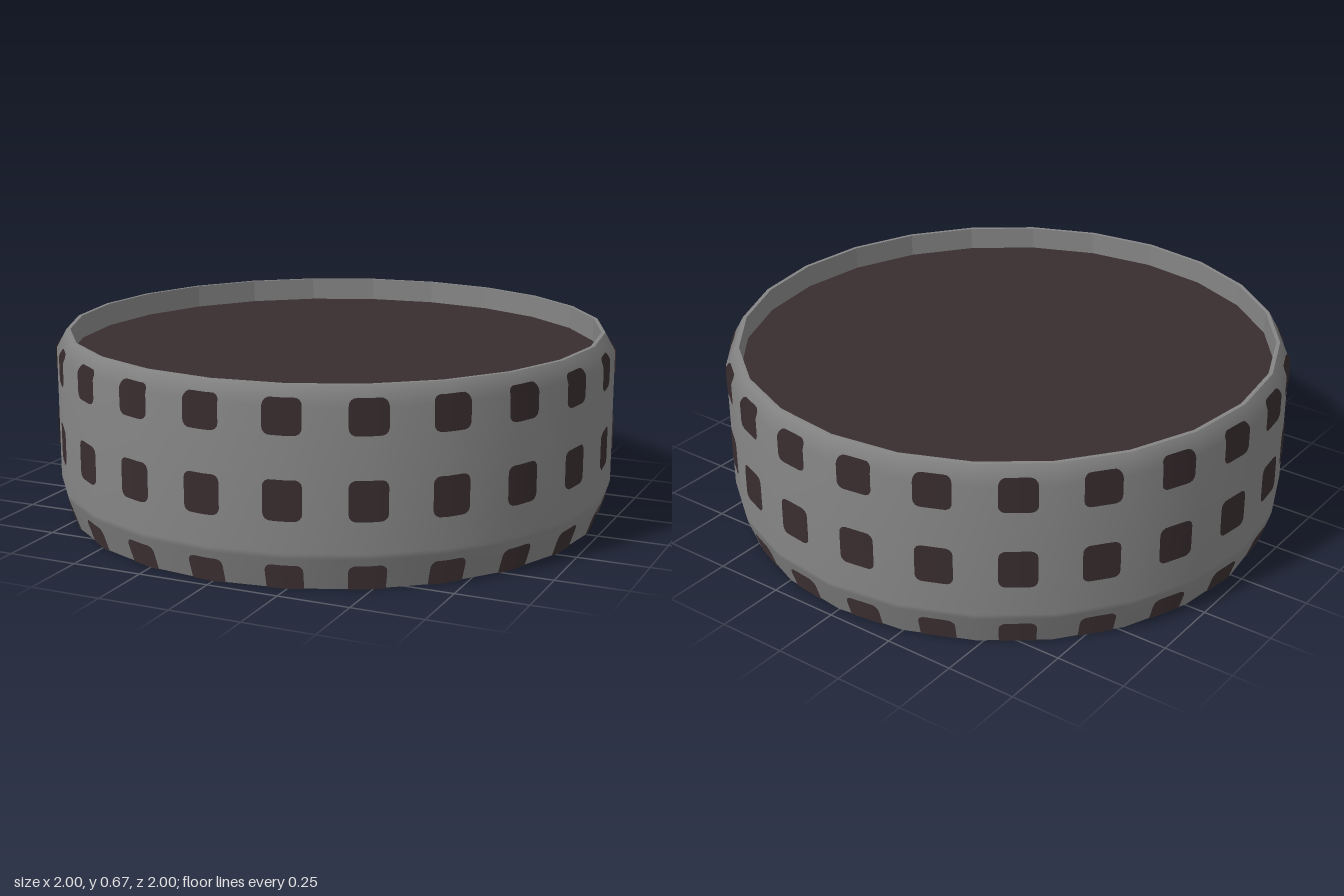
import * as THREE from 'three';

const SIDES = 24;
const FACET = (Math.PI * 2) / SIDES;
const PATCHES = 23;

// Outer wall profile: radius, height
const PROFILE = [[0.957, 0], [0.995, 0.11], [1, 0.13], [1, 0.605], [0.964, 0.67]];

// Distance from the axis to the faceted wall
function wallRadius(angle, y) {
  let r = PROFILE[0][0];
  for (let i = 1; i < PROFILE.length; i++) {
    const [r0, y0] = PROFILE[i - 1], [r1, y1] = PROFILE[i];
    if (y >= y0 && y <= y1) r = r0 + ((r1 - r0) * (y - y0)) / (y1 - y0);
  }
  const a = (((angle % FACET) + FACET) % FACET) - FACET / 2;
  return (r * Math.cos(FACET / 2)) / Math.cos(a);
}

// Rounded square laid on the wall, lifted by offset
function patchGeometry(center, y0, y1, offset) {
  const half = 0.064, corner = 0.024, cols = 12, rows = 8;
  const geo = new THREE.PlaneGeometry(1, 1, cols, rows);
  const pos = geo.attributes.position, normal = geo.attributes.normal;
  for (let i = 0; i < pos.count; i++) {
    // Columns bunch towards the sides so that the corners stay round
    const u = half * Math.sin(pos.getX(i) * Math.PI);
    const v = pos.getY(i) + 0.5;
    const d = Math.max(0, Math.abs(u) - (half - corner));
    const inset = corner - Math.sqrt(Math.max(0, corner * corner - d * d));
    const low = y0 > 0 ? y0 + inset : 0;
    const y = low + (y1 - inset - low) * v;
    const angle = center + u;
    const r = wallRadius(angle, y) + offset;
    pos.setXYZ(i, r * Math.sin(angle), y, r * Math.cos(angle));
    normal.setXYZ(i, Math.sin(angle), 0, Math.cos(angle));
  }
  return geo;
}

export function createModel() {
  const model = new THREE.Group();
  model.name = 'roundTub';
  const grey = new THREE.MeshStandardMaterial({ color: 0x858585, side: THREE.DoubleSide });
  grey.name = 'wallGrey';
  const dark = new THREE.MeshStandardMaterial({ color: 0x392d2f, side: THREE.DoubleSide });
  dark.name = 'darkBrown';

  const add = (name, geometry, material, parent = model) => {
    const mesh = new THREE.Mesh(geometry, material);
    mesh.name = name;
    parent.add(mesh);
    return mesh;
  };

  // Smooth outer wall, open below
  add('outerWall', new THREE.LatheGeometry(PROFILE.map(([r, y]) => new THREE.Vector2(r, y)), SIDES), grey);

  // Flat rim and the short lip inside it
  add('rim', new THREE.RingGeometry(0.95, 0.964, SIDES).rotateX(-Math.PI / 2).translate(0, 0.67, 0), grey);
  const lip = new THREE.CylinderGeometry(0.95, 0.95, 0.085, SIDES, 1, true).toNonIndexed();
  lip.computeVertexNormals();
  add('innerLip', lip.translate(0, 0.6275, 0), grey);

  // Recessed dark surface
  add('topDisc', new THREE.CircleGeometry(0.952, SIDES).rotateX(-Math.PI / 2).translate(0, 0.587, 0), dark);

  // Three rows of square patches, showing on both faces of the wall
  const rows = [['lowerPatches', 0, 0.088], ['middlePatches', 0.237, 0.372], ['upperPatches', 0.515, 0.633]];
  for (const [name, y0, y1] of rows) {
    const row = new THREE.Group();
    row.name = name;
    model.add(row);
    for (let i = 0; i < PATCHES; i++) {
      const angle = (i / PATCHES) * Math.PI * 2 - 0.0175;
      add('outerPatch', patchGeometry(angle, y0, y1, 0.004), dark, row);
      add('innerPatch', patchGeometry(angle, y0, y1, -0.004), dark, row);
    }
  }
  return model;
}
